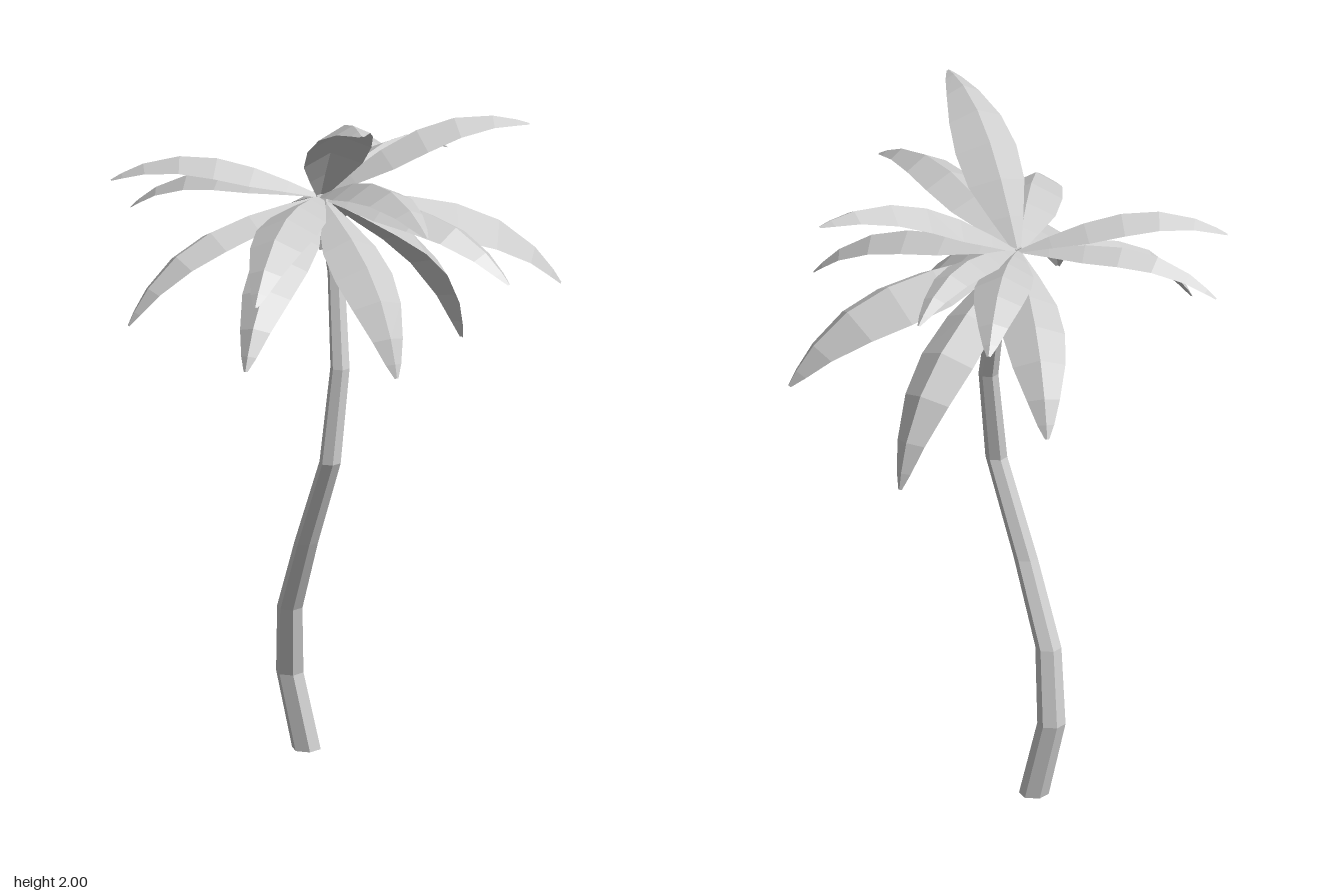
import * as THREE from 'three';

const material = new THREE.MeshStandardMaterial({ color: 0xcccccc, flatShading: true, side: THREE.DoubleSide });
const crown = new THREE.Vector3(-0.05, 1.65, -0.055);

// Joins equal-length rows of points into a faceted skin
function skin(rows, closed) {
  const n = rows[0].length, index = [];
  for (let r = 0; r < rows.length - 1; r++) {
    for (let i = 0; i < (closed ? n : n - 1); i++) {
      const a = r * n + i, b = r * n + (i + 1) % n;
      index.push(a, a + n, b, b, a + n, b + n);
    }
  }
  const geometry = new THREE.BufferGeometry().setFromPoints(rows.flat());
  geometry.setIndex(index);
  const flat = geometry.toNonIndexed();
  flat.computeVertexNormals();
  return flat;
}

// Bent six-sided trunk: centre x, y, z and radius of each ring
function makeTrunk() {
  const rings = [
    [-0.08, 0, -0.1, 0.042], [-0.12, 0.22, -0.132, 0.04], [-0.133, 0.43, -0.08, 0.037],
    [-0.115, 0.66, 0.04, 0.034], [-0.075, 0.93, 0.155, 0.031], [-0.04, 1.2, 0.13, 0.028],
    [-0.03, 1.45, 0.045, 0.025], [-0.045, 1.655, -0.04, 0.022],
  ];
  const rows = rings.map(([x, y, z, r]) => Array.from({ length: 6 }, (_, i) => {
    const a = -i * Math.PI / 3;
    return new THREE.Vector3(x + r * Math.sin(a), y, z + r * Math.cos(a));
  }));
  // End caps
  const point = ([x, y, z]) => Array.from({ length: 6 }, () => new THREE.Vector3(x, y, z));
  rows.unshift(point(rings[0]));
  rows.push(point(rings[rings.length - 1]));
  return skin(rows, true);
}

// Arched frond with a raised spine, bending most towards its blunt tip
function makeFrond(tip, halfWidth) {
  const profile = [[0, 0.12], [0.15, 0.53], [0.32, 0.92], [0.5, 1], [0.68, 0.85], [0.85, 0.53], [0.95, 0.27], [1, 0.07]];
  const chord = tip.clone().sub(crown);
  const side = new THREE.Vector3(chord.z, 0, -chord.x).normalize();
  const normal = chord.clone().cross(side).normalize();
  const bow = 0.39 * chord.length();
  const rows = profile.map(([t, w]) => {
    const spine = crown.clone().addScaledVector(chord, t).addScaledVector(normal, bow * (t - t ** 3));
    const tangent = chord.clone().addScaledVector(normal, bow * (1 - 3 * t * t)).normalize();
    const up = tangent.cross(side);
    const edge = (s) => spine.clone().addScaledVector(side, s * w * halfWidth).addScaledVector(up, -0.5 * w * halfWidth);
    return [edge(-1), spine, edge(1)];
  });
  return skin(rows, false);
}

export function createModel() {
  const group = new THREE.Group();
  group.name = 'palmTree';
  const add = (name, geometry) => {
    const mesh = new THREE.Mesh(geometry, material);
    mesh.name = name;
    group.add(mesh);
  };
  add('trunk', makeTrunk());

  // Fronds: tip x, y, z and half width
  const fronds = [
    [0.085, 1.305, -0.58, 0.088], [0.26, 1.585, -0.57, 0.08], [0.405, 1.64, -0.41, 0.062],
    [0.425, 1.105, -0.32, 0.09], [0.64, 1.345, -0.03, 0.135], [0.55, 1.82, -0.04, 0.085],
    [0.39, 1.49, 0.372, 0.08], [0.1, 1.72, 0.578, 0.08], [0.045, 1.265, 0.45, 0.088],
    [-0.06, 1.995, 0.46, 0.092], [-0.39, 1.545, 0.55, 0.088], [-0.4, 1.33, 0.475, 0.085],
    [-0.64, 1.355, 0.075, 0.075], [-0.61, 1.68, -0.245, 0.075], [-0.52, 1.55, -0.375, 0.065],
  ];
  fronds.forEach(([x, y, z, w], i) => add(`frond${i + 1}`, makeFrond(new THREE.Vector3(x, y, z), w)));
  return group;
}
